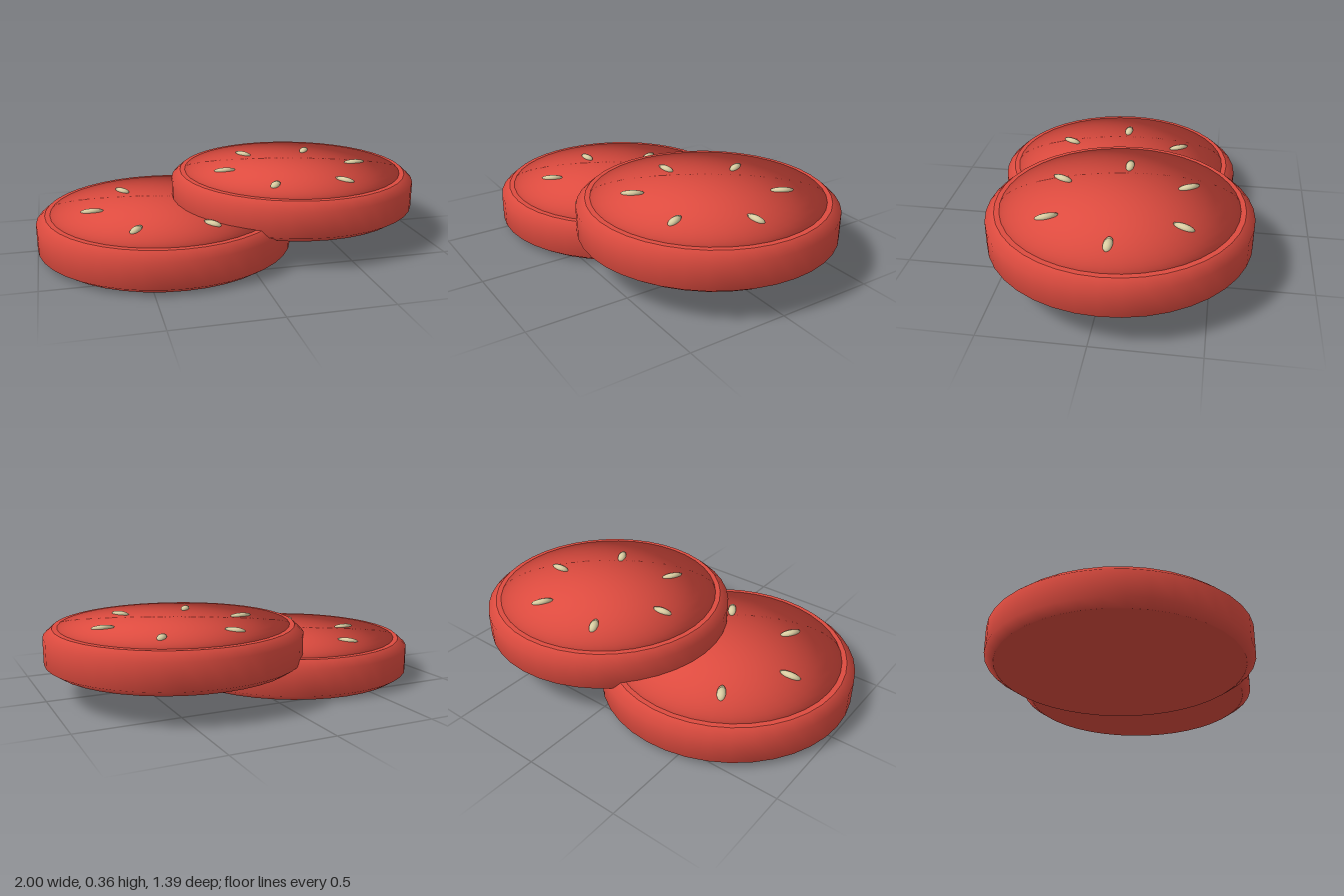
import * as THREE from 'three';

const red = new THREE.MeshStandardMaterial({ color: 0xdd4b3f });
red.name = 'tomato red';
const cream = new THREE.MeshStandardMaterial({ color: 0xd9cda2 });
cream.name = 'seed cream';

const SEGMENTS = 40;
const RADIUS = 0.645, CAP = 0.6, HEIGHT = 0.2;

function addMesh(parent, name, geometry, material) {
  const mesh = new THREE.Mesh(geometry, material);
  mesh.name = name;
  parent.add(mesh);
  return mesh;
}

// Squashes a sphere's positions but keeps its round normals for plump shading
function squash(sphere, sx, sy, sz) {
  const p = sphere.attributes.position;
  for (let i = 0; i < p.count; i++) {
    p.setXYZ(i, p.getX(i) * sx, p.getY(i) * sy, p.getZ(i) * sz);
  }
  return sphere;
}

function createSlice(name) {
  const slice = new THREE.Group();
  slice.name = name;

  // Skin: upright wall with bevelled edges
  const profile = [[CAP, 0], [RADIUS, 0.03], [RADIUS, 0.16], [CAP, HEIGHT]]
    .map(([x, y]) => new THREE.Vector2(x, y));
  addMesh(slice, 'skin', new THREE.LatheGeometry(profile, SEGMENTS), red);

  // Flat cut faces
  const disc = new THREE.CircleGeometry(CAP, SEGMENTS);
  addMesh(slice, 'topRim', disc.clone().rotateX(-Math.PI / 2), red).position.y = HEIGHT;
  addMesh(slice, 'underside', disc.clone().rotateX(Math.PI / 2), red);

  // Very shallow flesh dome
  const dome = new THREE.SphereGeometry(1, SEGMENTS, 12, 0, Math.PI * 2, 0, Math.PI / 2);
  addMesh(slice, 'flesh', squash(dome, 0.575, 0.004, 0.575), red).position.y = HEIGHT + 0.001;

  // Ring of six seeds pointing outward
  const seedShape = squash(new THREE.SphereGeometry(1, 16, 10), 0.058, 0.012, 0.022);
  for (let i = 0; i < 6; i++) {
    const angle = (i * Math.PI) / 3;
    const seed = addMesh(slice, 'seed', seedShape, cream);
    seed.position.set(Math.cos(angle) * 0.368, HEIGHT + 0.008, -Math.sin(angle) * 0.368);
    seed.rotation.y = angle;
  }
  return slice;
}

export function createModel() {
  const model = new THREE.Group();
  model.name = 'tomatoSlices';

  const lower = createSlice('lowerSlice');
  lower.position.set(-0.355, 0, 0.05);
  const upper = createSlice('upperSlice');
  upper.position.set(0.355, 0.14, -0.05);

  model.add(lower, upper);
  return model;
}
